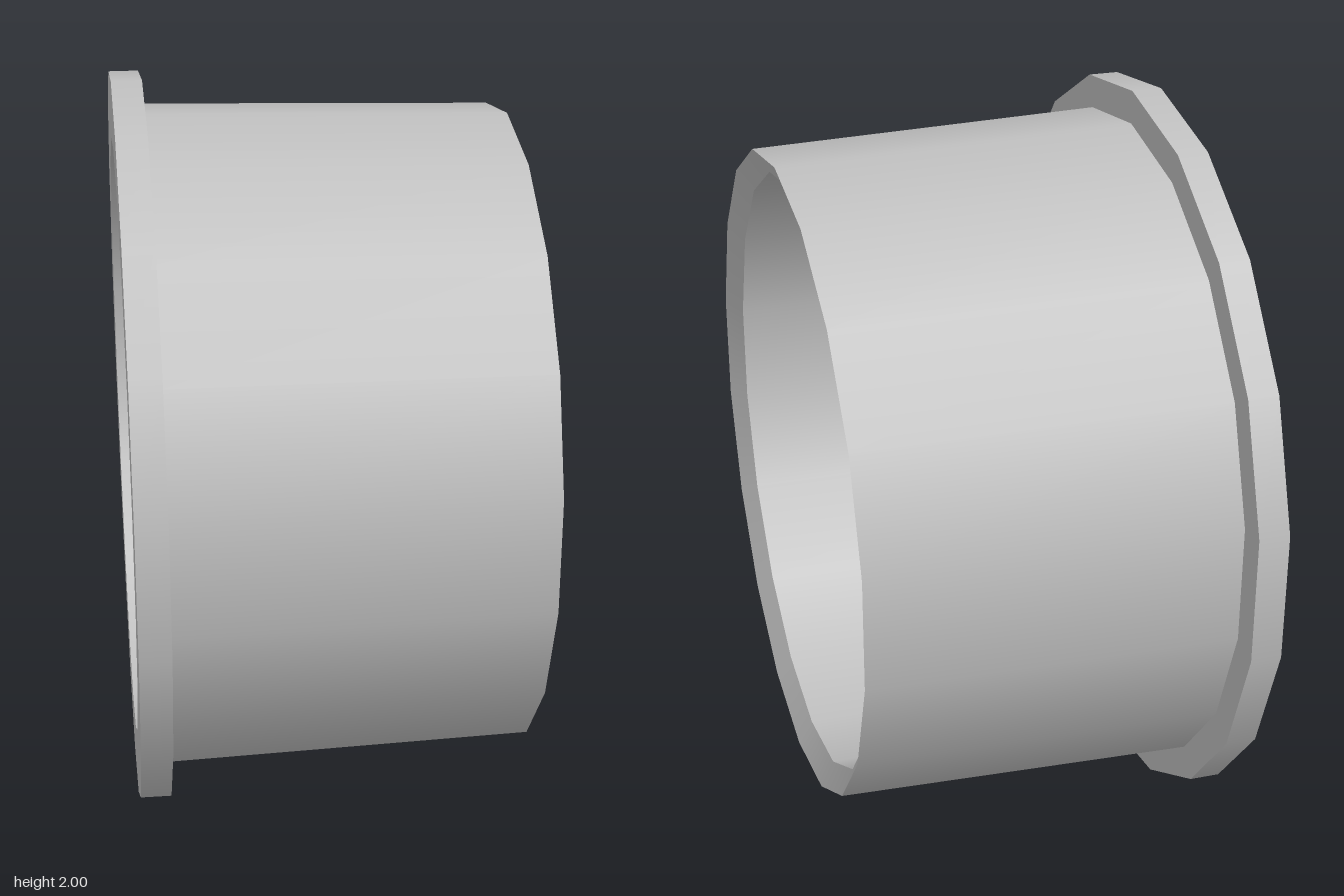
import * as THREE from 'three';
import { mergeGeometries } from 'three/addons/utils/BufferGeometryUtils.js';

const SIDES = 18;

// Sweeps a closed [radius, x] profile round the x axis: smooth around, sharp between bands.
function ring(profile) {
  const bands = [];
  for (let i = 0; i < profile.length - 1; i++) {
    const pair = [profile[i], profile[i + 1]].map(([r, x]) => new THREE.Vector2(r, x));
    bands.push(new THREE.LatheGeometry(pair, SIDES, Math.PI / 2));
  }
  return mergeGeometries(bands).rotateZ(-Math.PI / 2);
}

export function createModel() {
  const group = new THREE.Group();
  group.name = 'flangedBushing';
  const grey = new THREE.MeshStandardMaterial({ color: 0xc0c0c0 });
  grey.name = 'grey';

  const back = -0.523, step = -0.442, end = 0.523;
  const bore = 0.82;

  const add = (name, profile) => {
    const mesh = new THREE.Mesh(ring(profile), grey);
    mesh.name = name;
    mesh.position.y = 1;
    group.add(mesh);
  };

  // flat collar: back face, rim, front shoulder
  add('flange', [[bore, back], [1, back], [1, step], [0.91, step]]);
  // tapered tube: outer wall, inner chamfer at the open end, straight bore
  add('sleeve', [[0.91, step], [0.885, end], [bore, end - 0.04], [bore, back]]);

  return group;
}
